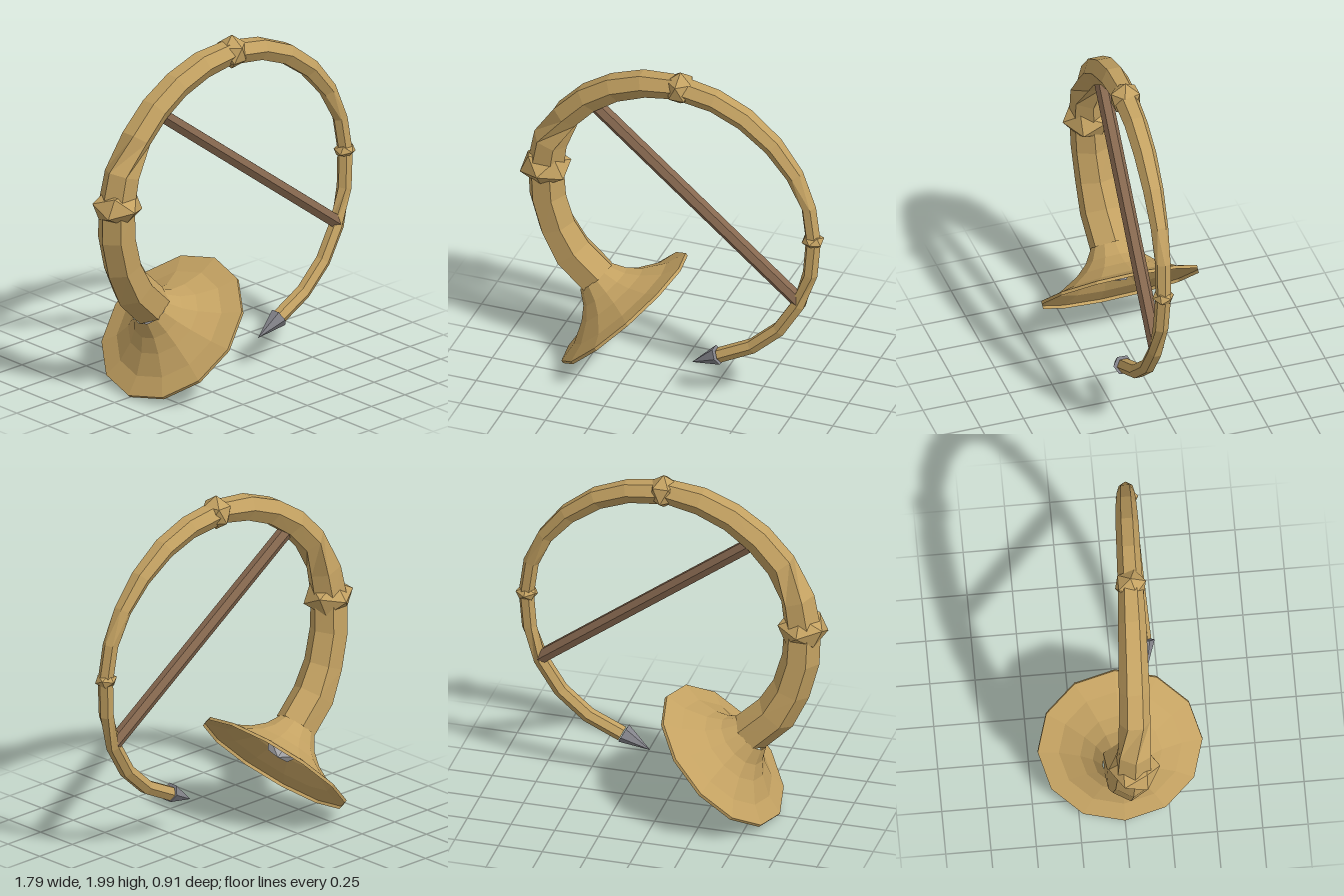
import * as THREE from 'three';

const mat = (name, color, side = THREE.FrontSide) => {
  const m = new THREE.MeshStandardMaterial({ color, flatShading: true, side });
  m.name = name;
  return m;
};

// Six-sided tapering tube through rows of [x, y, radius, turn]; z drifts forward row by row
function hornTube(rows, zStep) {
  const pos = [], index = [], sides = 6;
  rows.forEach(([x, y, r, turn], i) => {
    const a = rows[Math.max(i - 1, 0)], b = rows[Math.min(i + 1, rows.length - 1)];
    const t = new THREE.Vector2(b[0] - a[0], b[1] - a[1]).normalize();
    for (let k = 0; k < sides; k++) {
      const ang = (k + turn / 2) * Math.PI / 3, n = Math.cos(ang) * r;
      pos.push(x - t.y * n, y + t.x * n, i * zStep + Math.sin(ang) * r);
      if (i < rows.length - 1) {
        const p = i * sides + k, q = i * sides + (k + 1) % sides;
        index.push(p, q, q + sides, p, q + sides, p + sides);
      }
    }
  });
  const g = new THREE.BufferGeometry();
  g.setAttribute('position', new THREE.Float32BufferAttribute(pos, 3));
  g.setIndex(index);
  g.computeVertexNormals();
  return g;
}

export function createModel() {
  const model = new THREE.Group();
  const brass = mat('brass', 0xc4a262, THREE.DoubleSide);
  const wood = mat('wood', 0x86684f);
  const steel = mat('steel', 0x85858c);
  const silver = mat('silver', 0xd0d0d4);

  const add = (name, geometry, material, x = 0, y = 0, z = 0) => {
    const m = new THREE.Mesh(geometry, material);
    m.name = name;
    m.position.set(x, y, z);
    model.add(m);
    return m;
  };
  // Lay a y-aligned part from point a to point b
  const span = (name, a, b, make, material) => {
    const from = new THREE.Vector3(...a), dir = new THREE.Vector3(...b).sub(from);
    const m = add(name, make(dir.length()), material);
    m.position.copy(from).addScaledVector(dir, 0.5);
    m.quaternion.setFromUnitVectors(new THREE.Vector3(0, 1, 0), dir.normalize());
  };

  // Curved horn, from the bell round to the mouthpiece
  add('hornTube', hornTube([
    [-0.475, 0.51, 0.12, 0], [-0.62, 0.65, 0.12, 0], [-0.705, 0.81, 0.11, 0],
    [-0.757, 1.0, 0.108, 0], [-0.765, 1.2, 0.105, 0], [-0.735, 1.37, 0.1, 0],
    [-0.635, 1.56, 0.087, 1], [-0.505, 1.7, 0.085, 1], [-0.35, 1.805, 0.081, 1],
    [-0.17, 1.875, 0.078, 1], [0.02, 1.9, 0.07, 1], [0.25, 1.865, 0.066, 1],
    [0.43, 1.79, 0.064, 1], [0.6, 1.66, 0.058, 1], [0.73, 1.5, 0.05, 1],
    [0.815, 1.315, 0.044, 0], [0.845, 1.11, 0.044, 0], [0.83, 0.9, 0.043, 0],
    [0.765, 0.695, 0.043, 1], [0.655, 0.515, 0.043, 1], [0.5, 0.375, 0.043, 1],
    [0.31, 0.28, 0.043, 1],
  ], 0.0088), brass);

  // Flared bell with a thin lip
  const profile = [[0.112, -0.25], [0.16, -0.17], [0.226, -0.11], [0.34, -0.045],
    [0.455, -0.018], [0.455, 0]].map(p => new THREE.Vector2(...p));
  add('bell', new THREE.LatheGeometry(profile, 12), brass, -0.31, 0.33, 0).rotation.z = -2.36;

  // Silver ball in the throat of the bell
  add('throatBall', new THREE.IcosahedronGeometry(0.12), silver, -0.41, 0.435, 0)
    .rotation.x = -Math.atan(1.618);

  // Faceted collars
  const tilt = Math.atan(1 / 1.618);
  const collar = (name, r, turn, scale, x, y, z) =>
    add(name, new THREE.IcosahedronGeometry(r).rotateX(turn).scale(...scale), brass, x, y, z);
  collar('largeCollar', 0.15, tilt, [1, 0.72, 0.95], -0.765, 1.19, 0.04);
  collar('topCollar', 0.1, tilt - Math.PI / 2, [0.85, 1, 0.95], 0.045, 1.9, 0.09);
  collar('smallCollar', 0.066, tilt, [1, 0.68, 0.95], 0.842, 1.115, 0.14);

  // Wooden brace across the ring
  span('brace', [-0.45, 1.65, 0.06], [0.77, 0.71, 0.155],
    h => new THREE.CylinderGeometry(0.042, 0.042, h, 6), wood);

  // Pointed mouthpiece
  span('mouthpieceTip', [0.303, 0.282, 0.19], [0.15, 0.2, 0.187],
    h => new THREE.ConeGeometry(0.056, h, 6), steel);

  return model;
}
